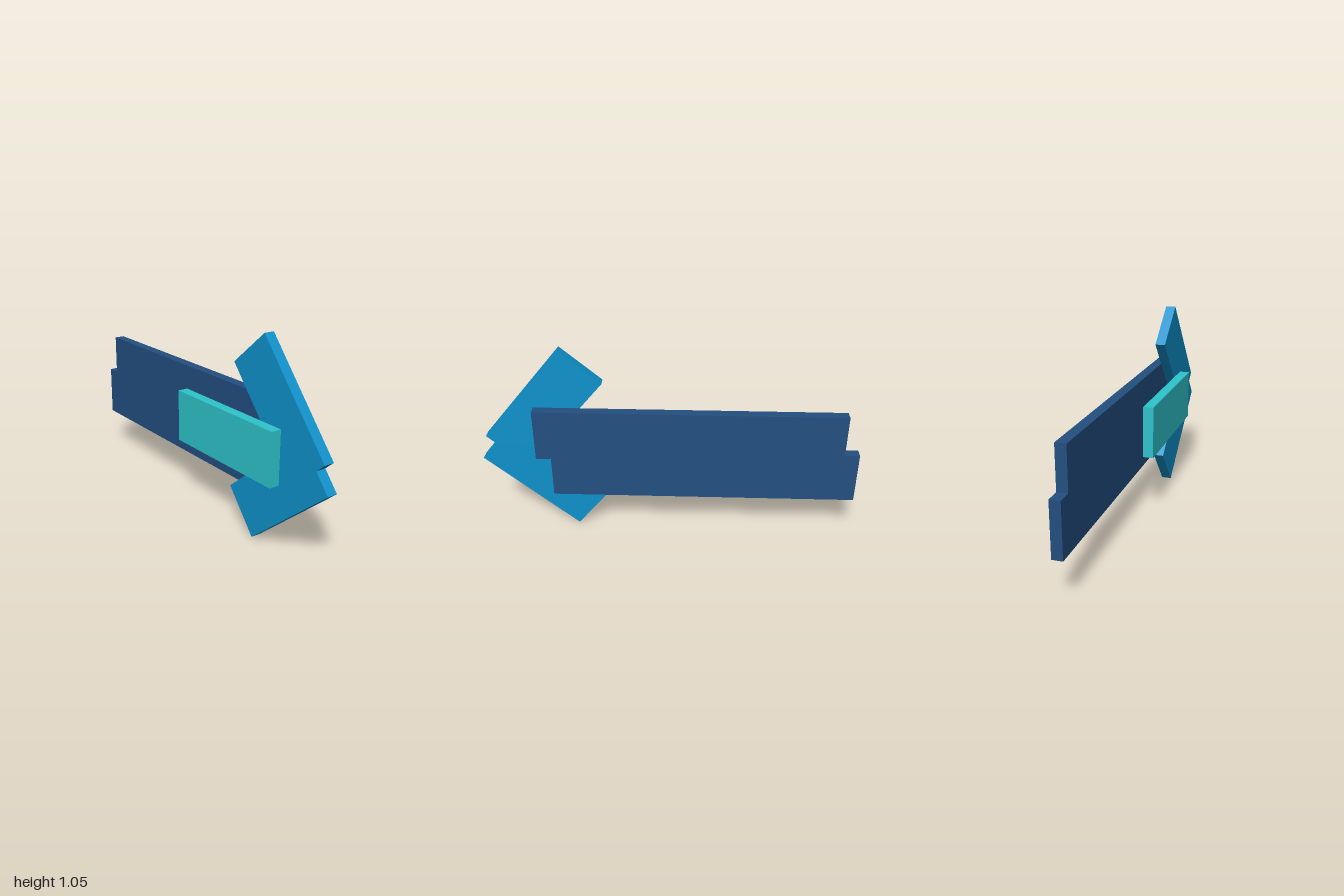
import * as THREE from 'three';

const THICK = 0.055;

// Flat plate cut from an outline in the xy plane, centred on the given z
function plate(name, points, z, material) {
  const shape = new THREE.Shape(points.map(([x, y]) => new THREE.Vector2(x, y)));
  const geometry = new THREE.ExtrudeGeometry(shape, { depth: THICK, bevelEnabled: false });
  geometry.translate(0, 0, z - THICK / 2);
  const mesh = new THREE.Mesh(geometry, material);
  mesh.name = name;
  return mesh;
}

export function createModel() {
  const material = (name, color) => {
    const m = new THREE.MeshStandardMaterial({ color });
    m.name = name;
    return m;
  };
  const navy = material('navy', 0x234f80);
  const blue = material('blue', 0x0e92cb);
  const teal = material('teal', 0x2ec4cc);

  const group = new THREE.Group();
  group.name = 'layeredArrow';

  // Long rear bar, stepped at both ends
  group.add(plate('rearBar', [
    [-1, 0.23], [0.62, 0.23], [0.62, 0.453], [0.7, 0.453],
    [0.7, 0.733], [-0.922, 0.733], [-0.922, 0.51], [-1, 0.51],
  ], -THICK, navy));

  // Arrowhead with a notched tip
  group.add(plate('arrowHead', [
    [0.502, 0], [0.998, 0.418], [0.92, 0.512], [0.968, 0.555],
    [0.552, 1.053], [0.338, 0.873], [0.657, 0.497], [0.323, 0.215],
  ], 0, blue));

  // Short front bar
  const bar = new THREE.Mesh(new THREE.BoxGeometry(0.745, 0.28, THICK), teal);
  bar.name = 'frontBar';
  bar.position.set(0.313, 0.493, THICK);
  group.add(bar);

  return group;
}
